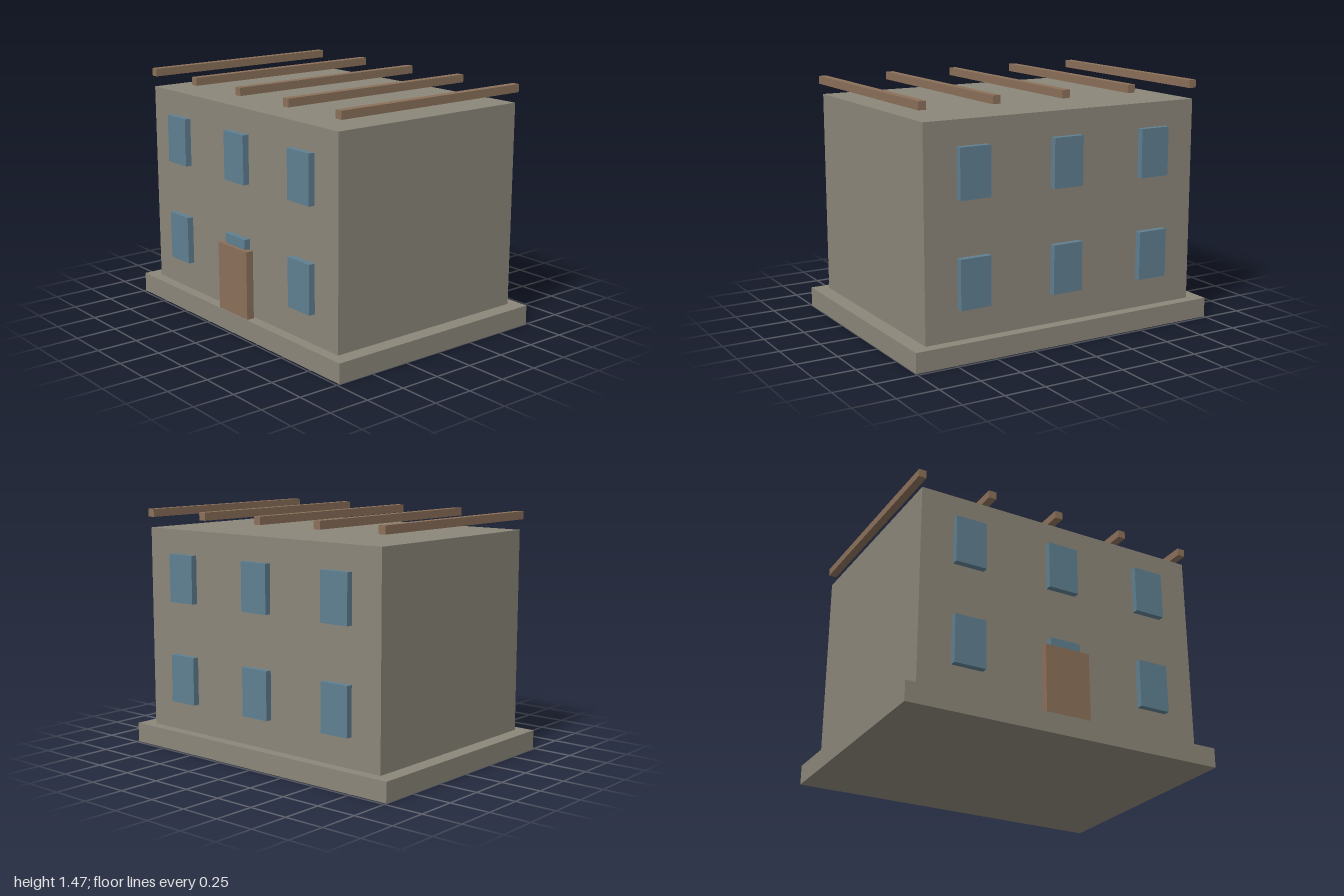
import * as THREE from 'three';

export function createModel() {
  const model = new THREE.Group();
  const material = (name, color) => {
    const m = new THREE.MeshStandardMaterial({ color });
    m.name = name;
    return m;
  };
  const stone = material('stone', 0x8b8679);
  const wood = material('wood', 0x8b7059);
  const glass = material('glass', 0x5f7f90);

  // Box given by its size, the centre of its underside and its material
  const box = (name, [w, h, d], [x, y, z], mat) => {
    const mesh = new THREE.Mesh(new THREE.BoxGeometry(w, h, d), mat);
    mesh.name = name;
    mesh.position.set(x, y + h / 2, z);
    model.add(mesh);
  };

  // Plinth and main block
  box('foundation', [2, 0.12, 1.466], [0, 0, 0], stone);
  box('walls', [1.814, 1.24, 1.333], [0, 0.12, 0], stone);

  // Door standing just clear of the front wall
  box('door', [0.285, 0.413, 0.047], [0, 0.12, 0.704], wood);

  // Two rows of three windows on the front and the back
  for (const [side, z] of [['front', 0.686], ['back', -0.686]])
    for (const y of [0.3, 0.92])
      for (const x of [-0.607, 0, 0.607])
        box(side + 'Window', [0.193, 0.293, 0.04], [x, y, z], glass);

  // Roof beams running front to back above the block
  for (let i = -2; i <= 2; i++)
    box('roofBeam', [0.048, 0.048, 1.333], [i * 0.4535, 1.425, 0], wood);

  return model;
}
